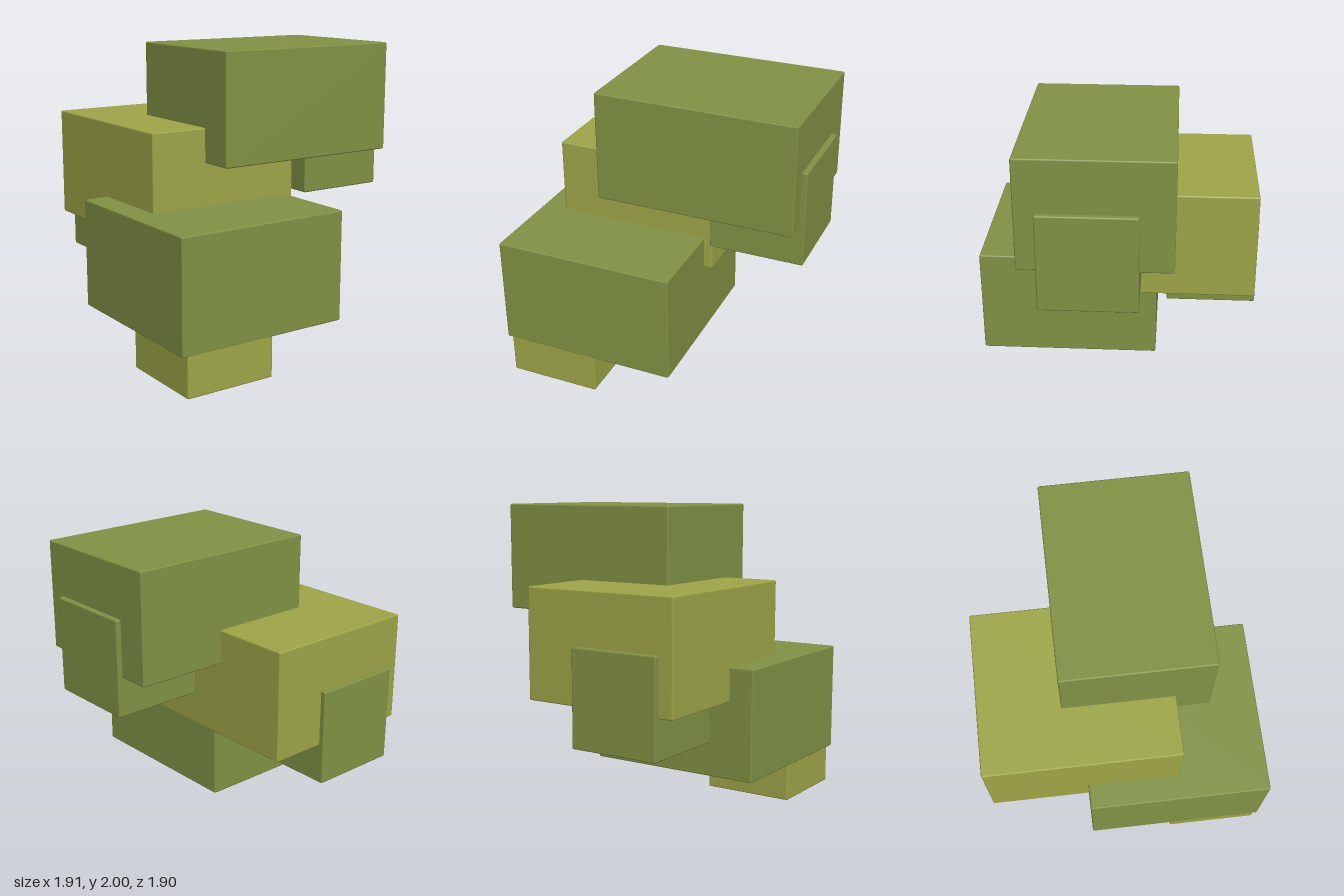
import * as THREE from 'three';
import { RoundedBoxGeometry } from 'three/addons/geometries/RoundedBoxGeometry.js';

export function createModel() {
  const group = new THREE.Group();
  group.name = 'foliageBlocks';

  const darkLeaf = new THREE.MeshStandardMaterial({ color: 0x829345 });
  darkLeaf.name = 'dark leaf green';
  const lightLeaf = new THREE.MeshStandardMaterial({ color: 0x9fa748 });
  lightLeaf.name = 'light leaf green';

  // Softly bevelled block spanning two opposite corners
  function block(name, material, min, max) {
    const [w, h, d] = max.map((v, i) => v - min[i]);
    const mesh = new THREE.Mesh(new RoundedBoxGeometry(w, h, d, 1, 0.01), material);
    mesh.position.set(...max.map((v, i) => (v + min[i]) / 2));
    mesh.name = name;
    group.add(mesh);
  }

  // Three large clumps, stepping upward
  block('lowerClump', darkLeaf, [-0.955, 0.265, -0.255], [0.245, 0.995, 0.948]);
  block('middleClump', lightLeaf, [-0.79, 0.77, -0.912], [0.302, 1.5, 0.357]);
  block('upperClump', darkLeaf, [-0.402, 1.272, -0.375], [0.917, 2, 0.592]);

  // Three small clumps, partly sunk into the large ones
  block('bottomTuft', lightLeaf, [-0.92, 0, 0.325], [-0.298, 0.645, 0.946]);
  block('backTuft', darkLeaf, [-0.692, 0.508, -0.948], [-0.07, 1.15, -0.322]);
  block('sideTuft', darkLeaf, [0.327, 1.01, -0.16], [0.952, 1.653, 0.465]);

  return group;
}
